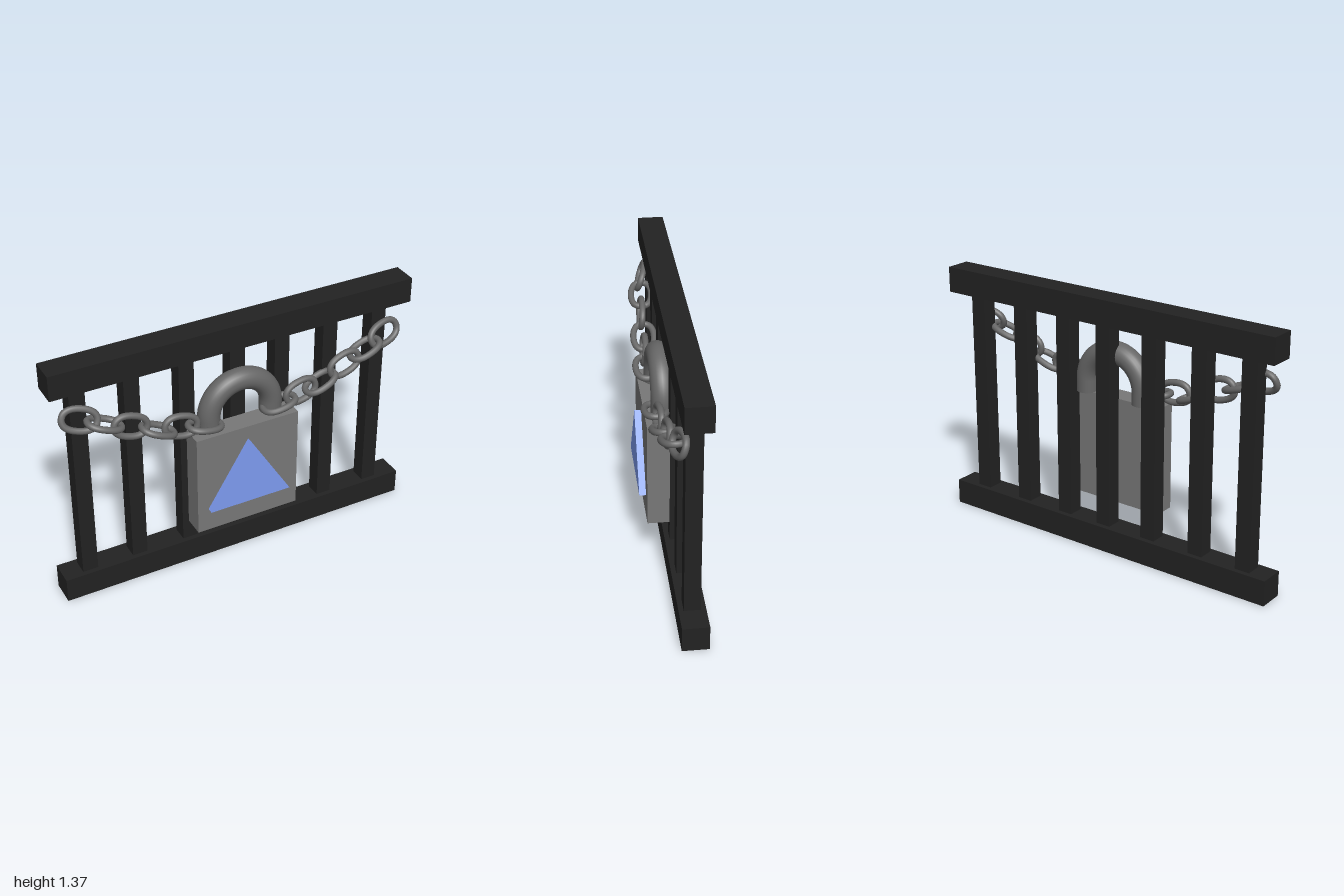
import * as THREE from 'three';

const mat = (color) => new THREE.MeshStandardMaterial({ color });

// Closed stadium-shaped path of one chain link, lying in the xy plane
class LinkCurve extends THREE.Curve {
  constructor(half, radius) {
    super();
    this.half = half;
    this.radius = radius;
  }
  getPoint(t, target = new THREE.Vector3()) {
    const a = t * Math.PI * 2;
    const c = Math.cos(a), s = Math.sin(a);
    // a squarish oval: rounded ends, nearly straight sides
    const p = (v) => Math.sign(v) * Math.pow(Math.abs(v), 0.85);
    return target.set(p(c) * (this.half + this.radius), p(s) * this.radius, 0);
  }
}

export function createModel() {
  const model = new THREE.Group();
  model.name = 'lockedFence';
  const iron = mat(0x222222);
  const steel = mat(0x777777);
  const chainSteel = mat(0x666666);
  const blue = mat(0x7d9bf0);

  const add = (name, geometry, material, x, y, z, parent = model) => {
    const mesh = new THREE.Mesh(geometry, material);
    mesh.name = name;
    mesh.position.set(x, y, z);
    parent.add(mesh);
    return mesh;
  };

  // Fence: two rails and seven bars
  const rail = new THREE.BoxGeometry(2, 0.136, 0.136);
  add('bottomRail', rail, iron, 0, 0.068, -0.062);
  add('topRail', rail, iron, 0, 1.302, -0.062);
  const bar = new THREE.BoxGeometry(0.083, 1.1, 0.083);
  for (const x of [-0.855, -0.575, -0.283, 0, 0.254, 0.535, 0.826]) {
    add('bar', bar, iron, x, 0.685, -0.061);
  }

  // Padlock body
  add('lockBody', new THREE.BoxGeometry(0.58, 0.58, 0.115), steel, 0, 0.535, 0.0375);

  // Triangular plate on the lock
  const triangle = new THREE.Shape([
    new THREE.Vector2(-0.23, 0.38),
    new THREE.Vector2(0.23, 0.38),
    new THREE.Vector2(0, 0.752),
  ]);
  add('trianglePlate', new THREE.ExtrudeGeometry(triangle, { depth: 0.035, bevelEnabled: false }),
    blue, 0, 0, 0.095);

  // Shackle: half ring on two straight legs
  const shackle = new THREE.Group();
  shackle.name = 'shackle';
  model.add(shackle);
  add('shackleArch', new THREE.TorusGeometry(0.176, 0.059, 24, 40, Math.PI), chainSteel, 0, 0.885, 0.005, shackle);
  const leg = new THREE.CylinderGeometry(0.059, 0.059, 0.065, 24);
  for (const side of [-1, 1]) add('shackleLeg', leg, chainSteel, side * 0.176, 0.853, 0.005, shackle);

  // Chains: [x, y, z, slope, roll, yaw] per link, from the fence end inward to the shackle
  const links = [
    [0.853, 1.09, 0.008, 0.24, -0.35, 0.2],
    [0.733, 1.033, 0.018, 0.34, Math.PI / 2, 0.1],
    [0.604, 0.988, 0.032, 0.31, -0.12, 0.05],
    [0.461, 0.918, 0.032, 0.39, Math.PI / 2, 0.05],
    [0.34, 0.909, 0.043, 0.2, -0.12, 0.05],
    [0.212, 0.873, 0.045, 0.18, Math.PI / 2, 0],
  ];
  const link = new THREE.TubeGeometry(new LinkCurve(0.033, 0.055), 48, 0.017, 12, true);
  for (const side of [-1, 1]) {
    const chain = new THREE.Group();
    chain.name = side > 0 ? 'leftChain' : 'rightChain';
    chain.position.x = -0.007;
    model.add(chain);
    for (const [x, y, z, slope, roll, yaw] of links) {
      const mesh = add('chainLink', link, chainSteel, side * x, y, z, chain);
      mesh.rotation.set(roll, side * yaw, side * slope, 'YZX');
    }
  }
  return model;
}
